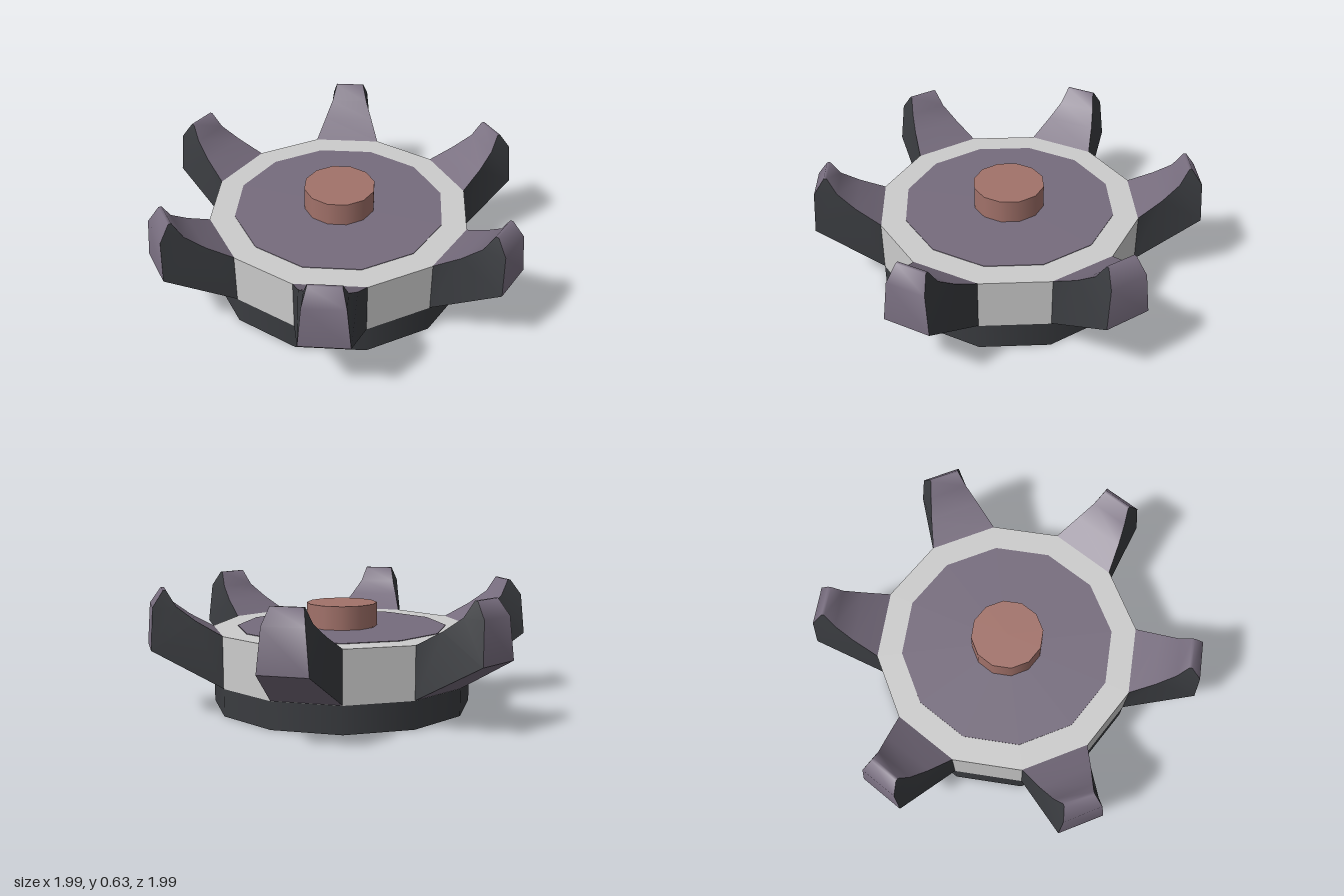
import * as THREE from 'three';
import { toCreasedNormals } from 'three/addons/utils/BufferGeometryUtils.js';

const mat = (color, flatShading = false) => new THREE.MeshStandardMaterial({ color, flatShading });
const SIDES = 12;

// Claw outline in its own plane: [radius, height, half width], starting at the lower root
const CLAW = [
  [0.655, 0.14, 0.176], [1.0, 0.34, 0.12], [0.985, 0.55, 0.1], [0.93, 0.63, 0.078],
  [0.915, 0.63, 0.078], [0.87, 0.55, 0.1], [0.78, 0.48, 0.135], [0.655, 0.405, 0.176],
];

function indexed(index) {
  const n = CLAW.length;
  const pos = [];
  for (const s of [1, -1]) for (const [r, y, w] of CLAW) pos.push(s * w, y, r);
  const g = new THREE.BufferGeometry();
  g.setAttribute('position', new THREE.Float32BufferAttribute(pos, 3));
  g.setIndex(index(n));
  return toCreasedNormals(g, 1.1);
}

// Band running around the claw: underside, outer face, tip and inner face
const clawBand = () => indexed((n) => {
  const idx = [];
  for (let i = 0; i < n - 1; i++) idx.push(i, i + 1, n + i + 1, i, n + i + 1, n + i);
  return idx;
});

// Two flanks, joining the outer half of the outline to the inner half
const clawFlanks = () => indexed((n) => {
  const idx = [];
  for (let i = 0; i < n / 2 - 1; i++) {
    const a = i, b = n - 1 - i, c = n - 2 - i, d = i + 1;
    idx.push(a, b, c, a, c, d);
    idx.push(n + a, n + c, n + b, n + a, n + d, n + c);
  }
  return idx;
});

export function createModel() {
  const model = new THREE.Group();
  const purple = mat(0x766c7d);
  const dark = mat(0x3a3c40);

  const add = (parent, name, geometry, material) => {
    const mesh = new THREE.Mesh(geometry, material);
    mesh.name = name;
    parent.add(mesh);
    return mesh;
  };
  const disc = (name, radius, y0, y1, material) => {
    const g = new THREE.CylinderGeometry(radius, radius, y1 - y0, SIDES);
    add(model, name, g.translate(0, (y0 + y1) / 2, 0), material);
  };

  // Stacked twelve-sided body
  disc('base', 0.68, 0, 0.14, dark);
  disc('rim', 0.68, 0.14, 0.405, mat(0xcccccc, true));
  disc('topPlate', 0.55, 0.38, 0.408, purple);
  disc('hub', 0.185, 0.4, 0.53, mat(0xa2726a));

  // Six claws on every other face of the rim
  const band = clawBand();
  const flanks = clawFlanks();
  for (let i = 0; i < 6; i++) {
    const claw = new THREE.Group();
    claw.name = 'claw' + (i + 1);
    add(claw, 'clawBand', band, purple);
    add(claw, 'clawFlanks', flanks, dark);
    claw.rotation.y = THREE.MathUtils.degToRad(45 + i * 60);
    model.add(claw);
  }
  return model;
}
